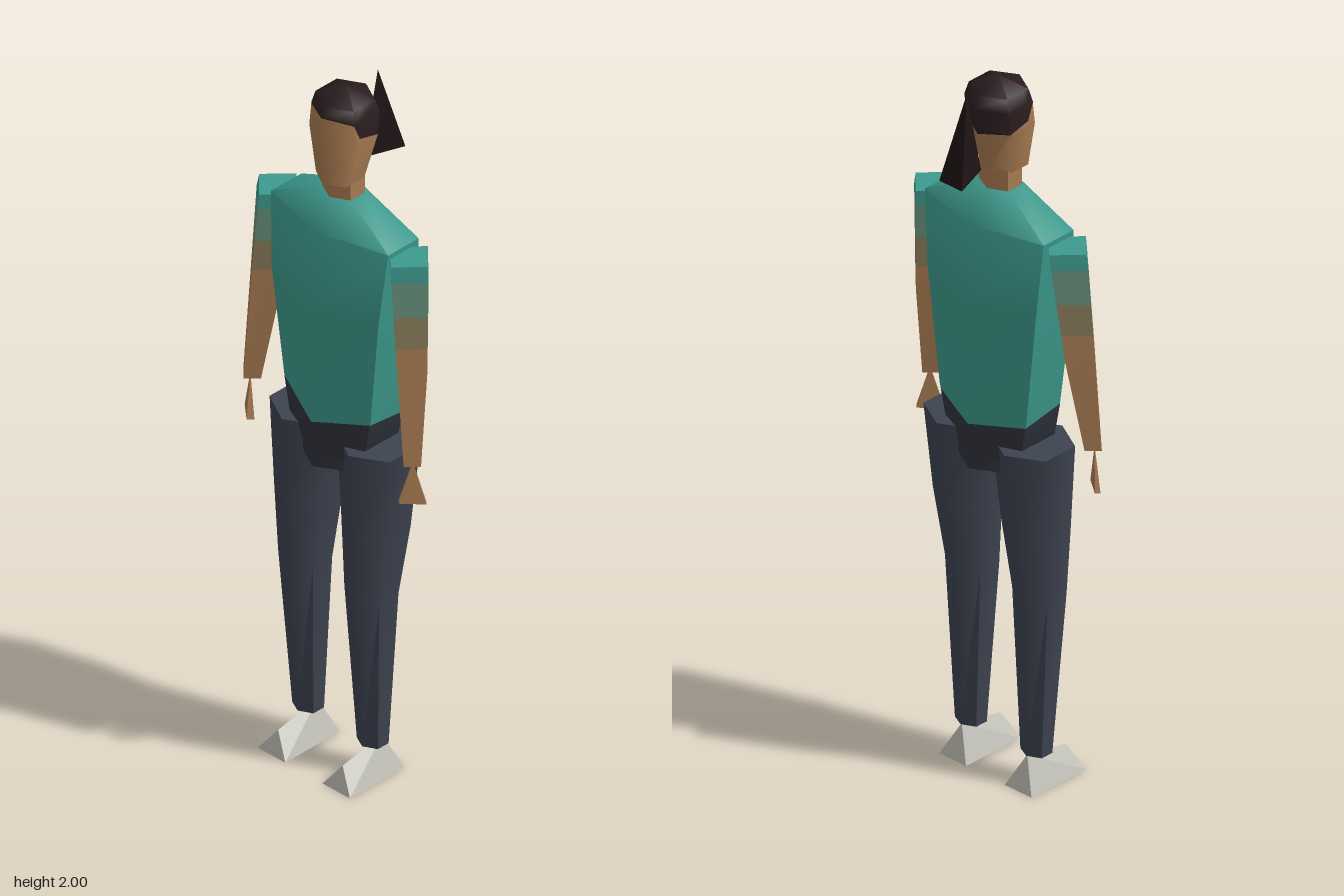
import * as THREE from 'three';
import { toCreasedNormals } from 'three/addons/utils/BufferGeometryUtils.js';
import { ConvexGeometry } from 'three/addons/geometries/ConvexGeometry.js';

const mat = (name, color) => Object.assign(new THREE.MeshStandardMaterial({ color }), { name });

// Unit cross-sections, running front, left, back, right: [x in -1..1, depth from 0 (back) to 1 (front)]
const HEX = [[0, 1], [1, 0.75], [1, 0.24], [0, 0], [-1, 0.24], [-1, 0.75]];
const HEAD = [[0, 1], [1, 0.75], [1, 0.62], [1, 0.24], [0, 0], [-1, 0.24], [-1, 0.62], [-1, 0.75]];
const DIAMOND = [[0, 1], [1, 0.5], [0, 0], [-1, 0.5]];

// Profile rows: [y, centre x, half width, front z, back z], from bottom to top
function sample(profile, y) {
  let i = 0;
  while (i < profile.length - 2 && y > profile[i + 1][0]) i++;
  const a = profile[i], b = profile[i + 1];
  const t = THREE.MathUtils.clamp((y - a[0]) / (b[0] - a[0]), 0, 1);
  return a.map((v, k) => v + (b[k] - v) * t);
}

// Skin of a lofted body between two heights; each height is a number or one value per column
function band(profile, section, low, high, caps = '') {
  const each = (h) => (Array.isArray(h) ? h : section.map(() => h));
  const lo = each(low), hi = each(high);
  const levels = [-Infinity, ...profile.map((r) => r[0]), Infinity];
  const rings = levels.map((y) => section.map(([u, v], i) => {
    const h = THREE.MathUtils.clamp(y, lo[i], hi[i]);
    const [, cx, hx, zf, zb] = sample(profile, h);
    return new THREE.Vector3(cx + u * hx, h, zb + v * (zf - zb));
  }));
  const pos = [];
  const tri = (a, b, c) => {
    const area = b.clone().sub(a).cross(c.clone().sub(a)).length();
    if (area > 1e-8) for (const p of [a, b, c]) pos.push(p.x, p.y, p.z);
  };
  const n = section.length;
  for (let r = 0; r < rings.length - 1; r++) {
    for (let i = 0; i < n; i++) {
      const j = (i + 1) % n, a = rings[r], b = rings[r + 1];
      tri(a[i], a[j], b[j]);
      tri(a[i], b[j], b[i]);
    }
  }
  const centre = (ring) => ring.reduce((s, p) => s.add(p), new THREE.Vector3()).divideScalar(n);
  for (let i = 0; i < n; i++) {
    const j = (i + 1) % n, top = rings[rings.length - 1], bottom = rings[0];
    if (caps.includes('t')) tri(top[i], top[j], centre(top));
    if (caps.includes('b')) tri(bottom[j], bottom[i], centre(bottom));
  }
  const g = new THREE.BufferGeometry();
  g.setAttribute('position', new THREE.Float32BufferAttribute(pos, 3));
  return toCreasedNormals(g, 1.1);
}

const solid = (points) => new ConvexGeometry(points.map((p) => new THREE.Vector3(...p)));

export function createModel() {
  const model = new THREE.Group();
  model.name = 'standingFigure';
  const shirt = mat('teal shirt', 0x3d9a8d);
  const sleeveFade = mat('sleeve fade', 0x67907c);
  const sleeveEnd = mat('sleeve end', 0x8a7c5c);
  const skin = mat('skin', 0xa97c52);
  const trousers = mat('trousers', 0x3d4350);
  const waist = mat('waistband', 0x30333d);
  const hair = mat('hair', 0x2a1d1f);
  const tail = mat('ponytail hair', 0x1d1415);
  const shoe = mat('shoe', 0xb9b8af);
  const add = (name, geometry, material, parent = model) => {
    const mesh = new THREE.Mesh(geometry, material);
    mesh.name = name;
    parent.add(mesh);
  };

  // Torso with an uneven shirt hem above the hips
  const torso = [
    [0.91, 0, 0.1, 0.132, -0.095],
    [0.99, 0, 0.132, 0.135, -0.097],
    [1.08, 0, 0.15, 0.135, -0.1],
    [1.4, 0, 0.187, 0.15, -0.11],
    [1.61, 0, 0.205, 0.122, -0.09],
    [1.69, 0, 0.055, 0.07, -0.032],
  ];
  const hem = [1.045, 1.075, 1.06, 1.04, 1.06, 1.085];
  add('hips', band(torso, HEX, 0.91, hem, 'b'), waist);
  add('shirt', band(torso, HEX, hem, 1.69, 't'), shirt);

  // Neck and head, with the hairline dropping behind the temples
  const neck = [[1.67, 0, 0.05, 0.07, -0.03], [1.75, 0, 0.05, 0.07, -0.03]];
  add('neck', band(neck, HEX, 1.67, 1.75), skin);
  const head = [
    [1.74, 0, 0.053, 0.095, -0.03],
    [1.87, 0, 0.077, 0.106, -0.066],
    [1.935, 0, 0.075, 0.101, -0.074],
    [1.968, 0, 0.067, 0.088, -0.06],
    [2.0, 0, 0, 0.012, 0.012],
  ];
  const hairline = [1.94, 1.93, 1.885, 1.87, 1.86, 1.87, 1.885, 1.93];
  add('face', band(head, HEAD, 1.74, hairline, 'b'), skin);
  add('hair', band(head, HEAD, hairline, 2.0), hair);
  add('ponytail', solid([
    [0, 1.99, -0.102], [0, 1.75, -0.05], [0.039, 1.75, -0.16], [-0.039, 1.75, -0.16],
  ]), tail);

  for (const s of [1, -1]) {
    const side = s > 0 ? 'left' : 'right';

    // Arm with a sleeve that fades into skin
    const arm = new THREE.Group();
    arm.name = side + 'Arm';
    model.add(arm);
    const limb = [
      [1.02, s * 0.28, 0.031, 0.09, 0.03],
      [1.29, s * 0.257, 0.053, 0.09, -0.017],
      [1.56, s * 0.233, 0.068, 0.088, -0.043],
      [1.595, s * 0.23, 0.064, 0.087, -0.046],
    ];
    add('forearm', band(limb, DIAMOND, 1.02, 1.36, 'b'), skin, arm);
    add('sleeveEnd', band(limb, DIAMOND, 1.36, 1.45), sleeveEnd, arm);
    add('sleeveFade', band(limb, DIAMOND, 1.45, 1.55), sleeveFade, arm);
    add('sleeve', band(limb, DIAMOND, 1.55, 1.595, 't'), shirt, arm);

    // Hand: a thin wedge widening downwards, turned outwards
    add('hand', solid([
      [s * 0.284, 1.025, 0.062],
      [s * 0.308, 0.905, 0.038], [s * 0.318, 0.905, 0.048],
      [s * 0.266, 0.905, 0.094], [s * 0.252, 0.905, 0.08],
    ]), skin, arm);

    // Leg and shoe
    const leg = new THREE.Group();
    leg.name = side + 'Leg';
    model.add(leg);
    const shin = [
      [0.09, s * 0.113, 0.037, 0.068, -0.006],
      [0.55, s * 0.116, 0.061, 0.106, -0.028],
      [0.75, s * 0.118, 0.077, 0.113, -0.063],
      [0.99, s * 0.117, 0.094, 0.12, -0.088],
    ];
    add('trouserLeg', band(shin, HEX, 0.09, 0.99, 'tb'), trousers, leg);
    const x = s * 0.113;
    add('shoe', solid([
      [x, 0.092, -0.002], [x, 0.065, 0.137],
      [x - 0.048, 0, 0.16], [x + 0.048, 0, 0.16],
      [x - 0.046, 0, -0.035], [x + 0.046, 0, -0.035],
    ]), shoe, leg);
  }
  return model;
}
